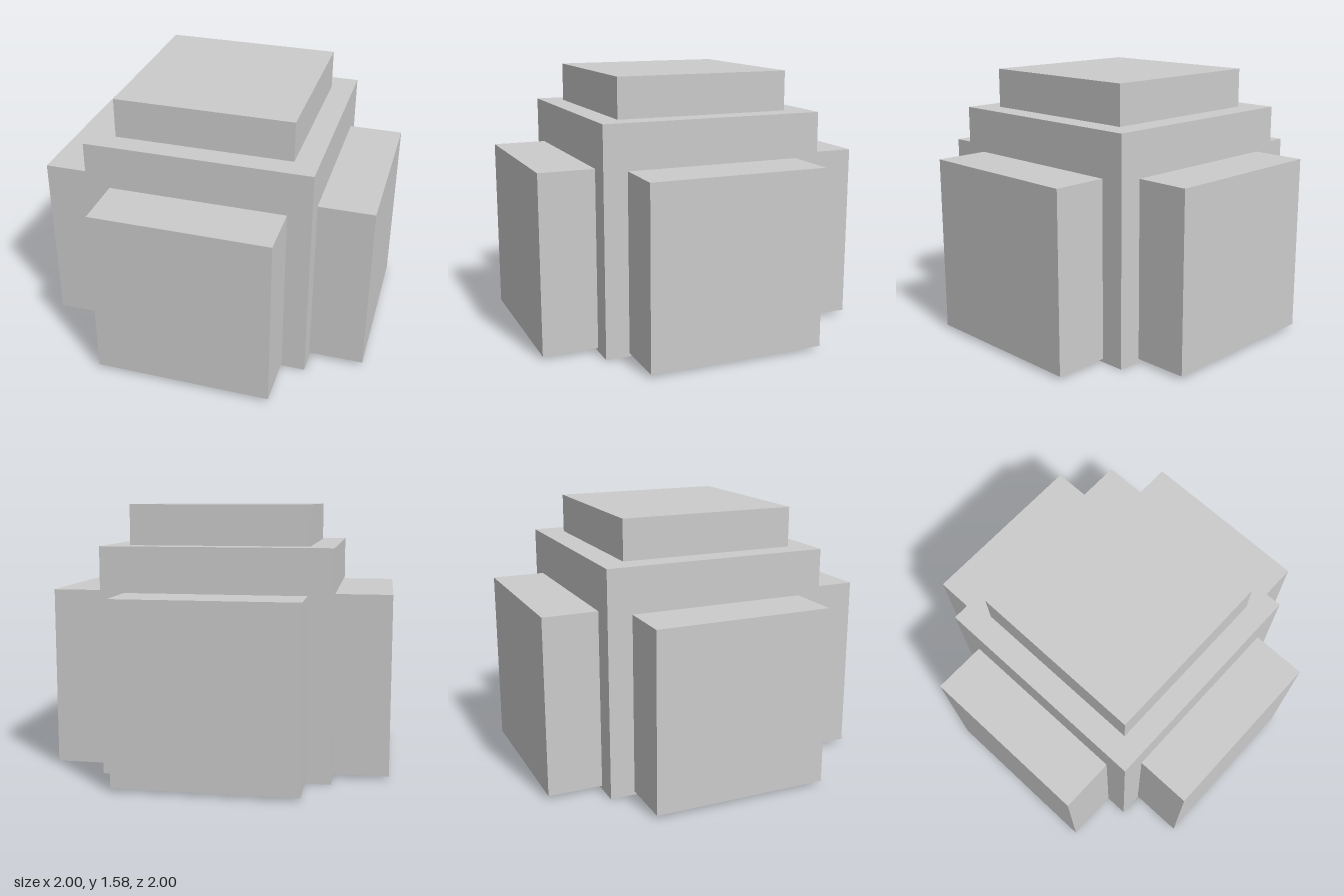
import * as THREE from 'three';

export function createModel() {
  const model = new THREE.Group();
  const material = new THREE.MeshStandardMaterial({ color: 0xcccccc, flatShading: true });

  const addBox = (name, size, position) => {
    const mesh = new THREE.Mesh(new THREE.BoxGeometry(...size), material);
    mesh.name = name;
    mesh.position.set(...position);
    model.add(mesh);
  };

  const core = 1.345, panel = 1.058;

  // Central cube
  addBox('core', [core, core, core], [-0.002, core / 2, -0.002]);

  // Square slab on top
  const topHeight = 1.583 - core;
  addBox('topPanel', [panel, topHeight, panel], [0, core + topHeight / 2, 0.006]);

  // Four upright slabs, one on each side, reaching out to 1 unit
  const inner = 0.67, depth = 1 - inner, centre = (1 + inner) / 2, y = 0.02 + panel / 2;
  for (const s of [1, -1]) {
    addBox(s > 0 ? 'leftPanel' : 'rightPanel', [depth, panel, panel], [s * centre, y, 0]);
    addBox(s > 0 ? 'frontPanel' : 'backPanel', [panel, panel, depth], [0, y, s * centre]);
  }

  return model;
}
